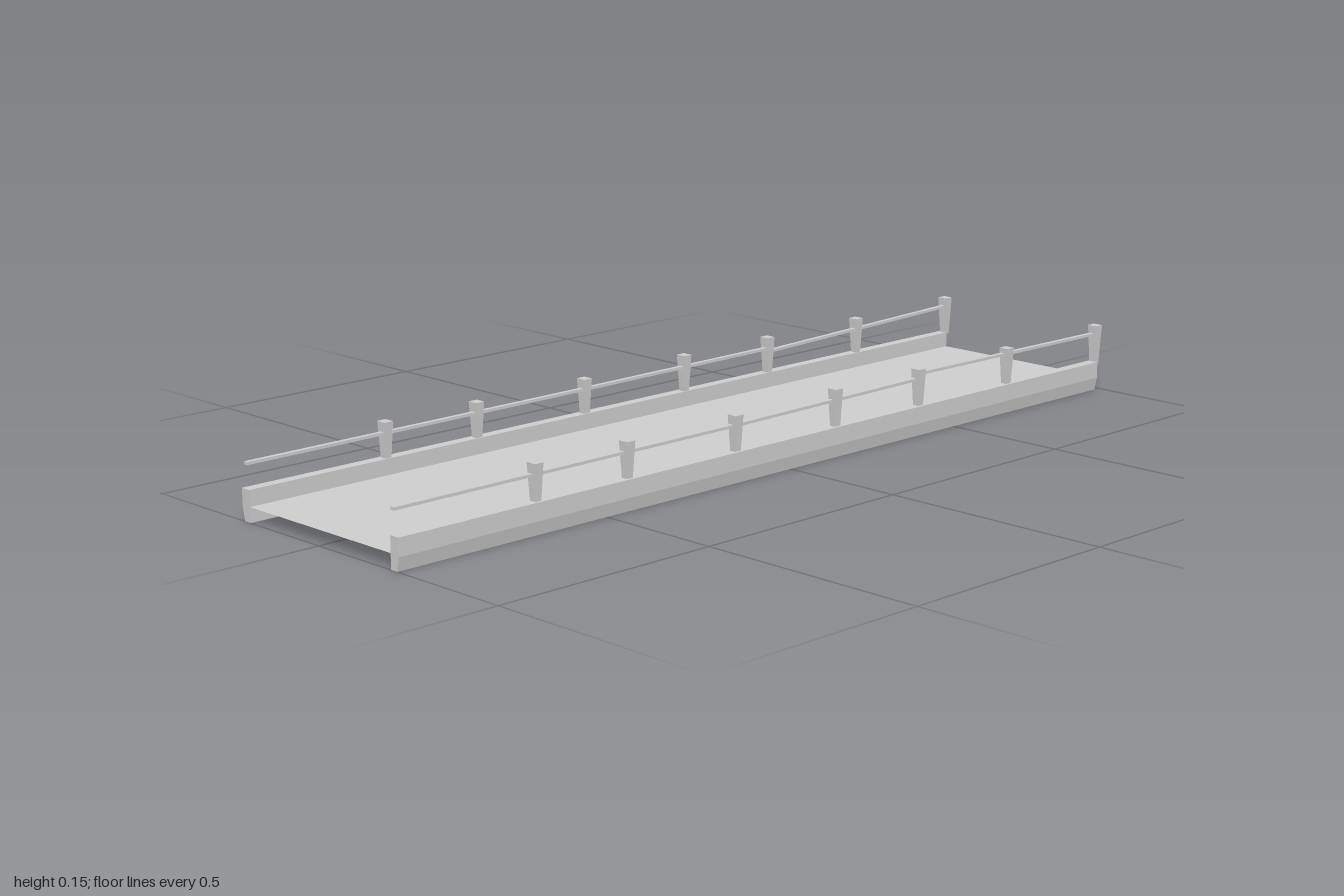
import * as THREE from 'three';

const concrete = new THREE.MeshStandardMaterial({ color: 0xcccccc, flatShading: true, side: THREE.DoubleSide });
concrete.name = 'light grey concrete';

function add(parent, geometry, name) {
  const mesh = new THREE.Mesh(geometry, concrete);
  mesh.name = name;
  parent.add(mesh);
  return mesh;
}

// Post: a box whose lower end is narrower than its top
function postGeometry(height) {
  const geo = new THREE.BoxGeometry(0.021, height, 0.023);
  const pos = geo.attributes.position;
  for (let i = 0; i < pos.count; i++) {
    if (pos.getY(i) < 0) {
      pos.setX(i, pos.getX(i) * 0.7);
      pos.setZ(i, pos.getZ(i) * 0.6);
    }
  }
  geo.translate(0, height / 2, 0);
  return geo;
}

// Edge beam with a slanted lower outer face, running along x
function beamGeometry(side) {
  const profile = [[0.21, 0], [0.227, 0], [0.233, 0.028], [0.233, 0.064], [0.21, 0.064]];
  // shape x becomes -z after the turn
  const shape = new THREE.Shape(profile.map(([z, y]) => new THREE.Vector2(-side * z, y)));
  const geo = new THREE.ExtrudeGeometry(shape, { depth: 1.985, bevelEnabled: false });
  geo.rotateY(Math.PI / 2);
  geo.translate(-1, 0, 0);
  return geo;
}

// Straight thin bar between two points of the railing
function addRail(parent, a, b, z) {
  const length = Math.hypot(b[0] - a[0], b[1] - a[1]);
  const rail = add(parent, new THREE.BoxGeometry(length, 0.006, 0.01), 'rail');
  rail.position.set((a[0] + b[0]) / 2, (a[1] + b[1]) / 2, z);
  rail.rotation.z = Math.atan2(b[1] - a[1], b[0] - a[0]);
}

export function createModel() {
  const bridge = new THREE.Group();
  bridge.name = 'bridge';

  // Road deck: a flat sheet between the beams
  const deck = add(bridge, new THREE.PlaneGeometry(1.985, 0.422).rotateX(-Math.PI / 2), 'deck');
  deck.position.set(-0.0075, 0.031, 0);

  const postXs = [-0.67, -0.44, -0.15, 0.137, 0.392, 0.68, 0.989];
  for (const side of [1, -1]) {
    const parapet = new THREE.Group();
    parapet.name = side > 0 ? 'frontParapet' : 'backParapet';
    bridge.add(parapet);

    add(parapet, beamGeometry(side), 'edgeBeam');

    // Posts, slightly taller toward the left end
    for (const x of postXs) {
      const height = x > 0.9 ? 0.086 : x > 0 ? 0.082 : 0.077;
      add(parapet, postGeometry(height), 'post').position.set(x, 0.06, side * 0.22);
    }

    // Rail with a slight bend at the fifth post
    const bend = side > 0 ? 0.131 : 0.11;
    const path = [[-1, 0.114], [-0.15, 0.115], [0.392, side > 0 ? 0.12 : 0.117]];
    addRail(parapet, path[0], path[1], side * 0.218);
    addRail(parapet, path[1], path[2], side * 0.218);
    addRail(parapet, [0.392, bend], [0.989, 0.126], side * 0.218);
  }
  return bridge;
}
